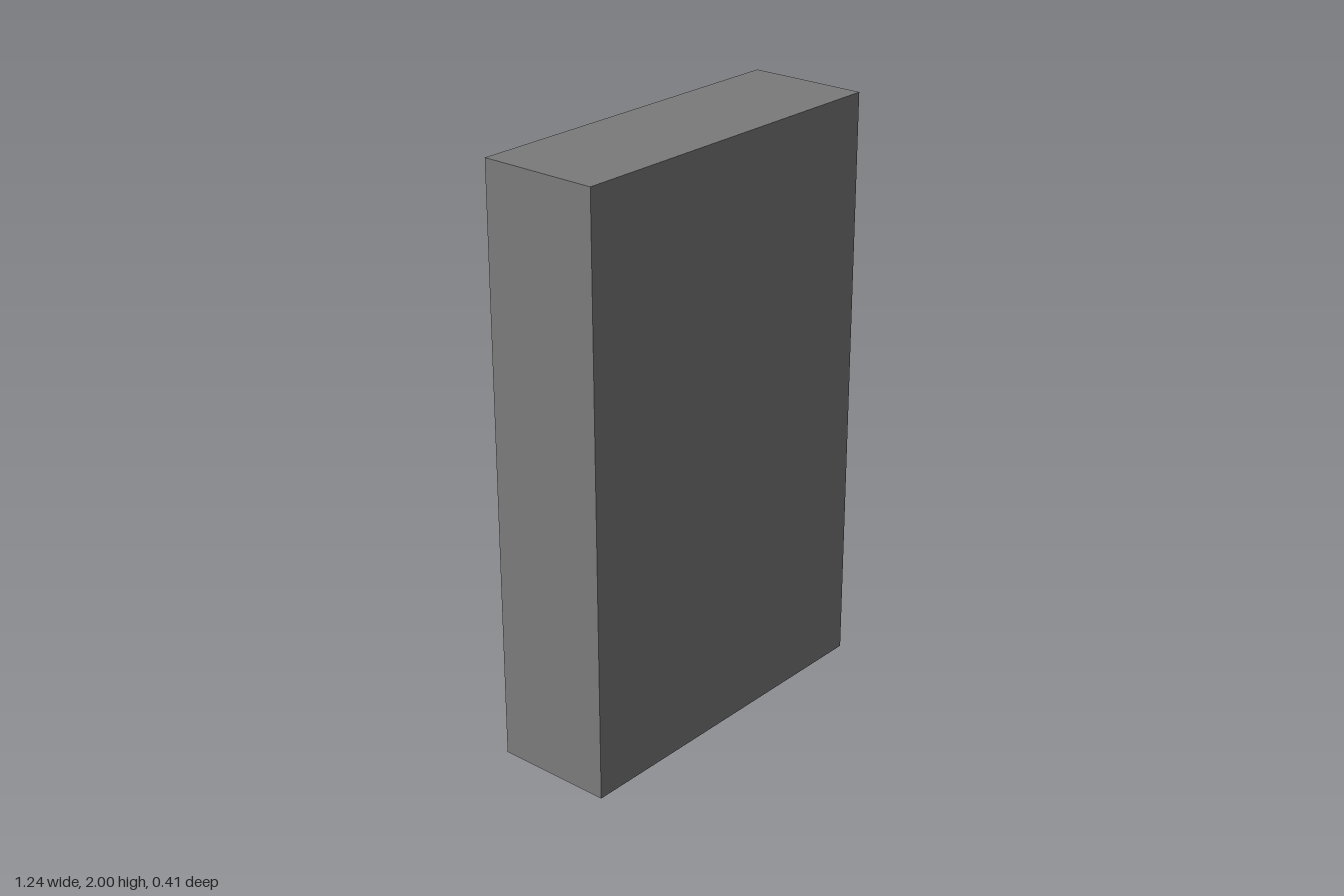
import * as THREE from 'three';

const W = 1.244, H = 2, D = 0.41; // overall size
const RECESS = 0.13;              // depth of the pocket in the back

// Rectangle corners, counter-clockwise
const rect = (x0, y0, x1, y1) => [[x0, y0], [x1, y0], [x1, y1], [x0, y1]].map(([x, y]) => new THREE.Vector2(x, y));

export function createModel() {
  const group = new THREE.Group();
  group.name = 'recessedSlab';
  const material = new THREE.MeshStandardMaterial({ color: 0x7b7b7b });

  // Solid front slab, whose back is the floor of the pocket
  const slab = new THREE.Mesh(new THREE.BoxGeometry(W, H, D - RECESS), material);
  slab.name = 'frontSlab';
  slab.position.set(0, H / 2, RECESS / 2);
  group.add(slab);

  // Raised rim around the pocket, slightly wider on the -x side
  const outline = new THREE.Shape(rect(-W / 2, 0, W / 2, H));
  outline.holes.push(new THREE.Path(rect(-0.478, 0.217, 0.502, 1.783).reverse()));
  const rim = new THREE.Mesh(
    new THREE.ExtrudeGeometry(outline, { depth: RECESS, bevelEnabled: false }),
    material
  );
  rim.name = 'backRim';
  rim.position.z = -D / 2;
  group.add(rim);

  return group;
}
